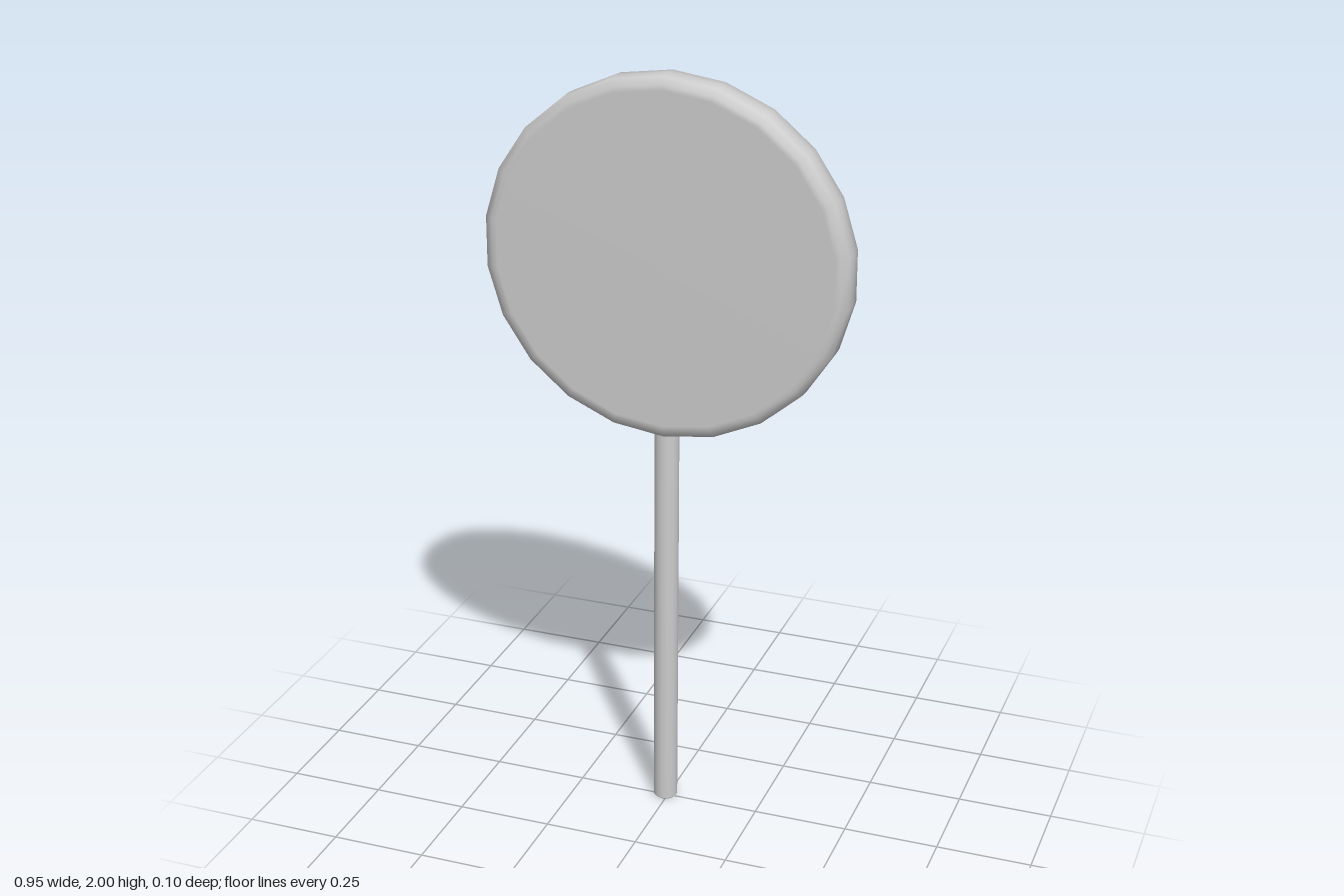
import * as THREE from 'three';

const material = new THREE.MeshStandardMaterial({ color: 0xcccccc });

// Closed, smoothly shaded turned solid with softened rims
function turned(name, profile, sides) {
  const points = profile.map(([r, y]) => new THREE.Vector2(r, y));
  const mesh = new THREE.Mesh(new THREE.LatheGeometry(points, sides), material);
  mesh.name = name;
  return mesh;
}

export function createModel() {
  const group = new THREE.Group();
  group.name = 'lollipop';

  // Round flat candy with a bevelled rim, turned to face the front
  const candy = turned('candy', [
    [0, -0.046], [0.445, -0.046], [0.459, -0.044], [0.478, -0.034],
    [0.48, 0], [0.478, 0.034], [0.459, 0.044], [0.445, 0.046], [0, 0.046],
  ], 22);
  candy.geometry.rotateX(Math.PI / 2);
  candy.geometry.scale(1, 0.97, 1);
  candy.position.set(0, 1.535, -0.001);
  candy.rotation.y = -0.006;
  group.add(candy);

  // Thin stick, leaning very slightly
  const stick = turned('stick', [
    [0, 0], [0.027, 0], [0.032, 0.005], [0.032, 1.08], [0, 1.08],
  ], 14);
  stick.position.set(-0.008, 0, -0.003);
  stick.rotation.z = -0.004;
  group.add(stick);

  return group;
}
